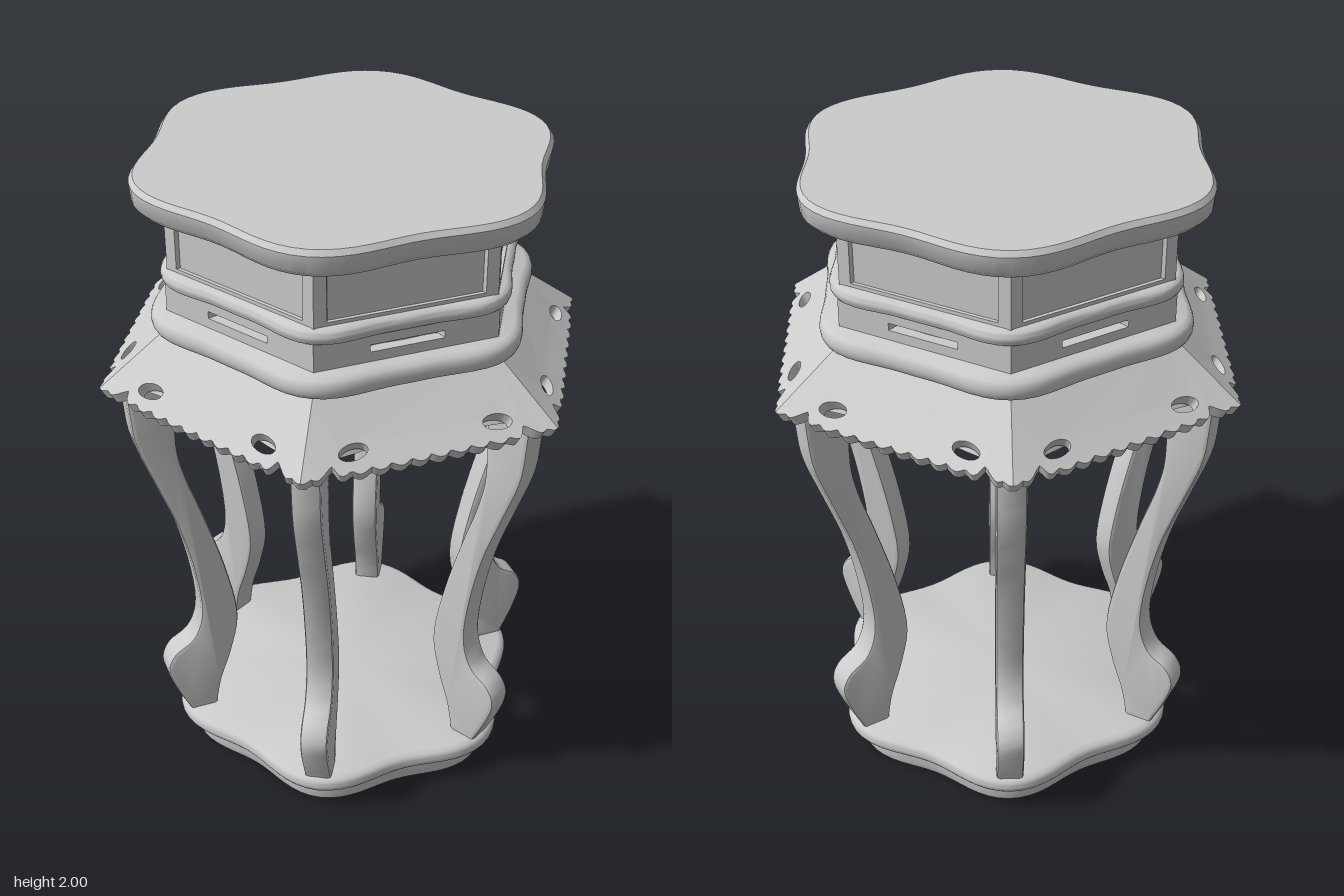
import * as THREE from 'three';
import { toCreasedNormals } from 'three/addons/utils/BufferGeometryUtils.js';

const material = new THREE.MeshStandardMaterial({ color: 0xcccccc });
const SIXTH = Math.PI / 3;
const TAN30 = Math.tan(Math.PI / 6);

function addMesh(parent, name, geometry) {
  const mesh = new THREE.Mesh(geometry, material);
  mesh.name = name;
  parent.add(mesh);
  return mesh;
}

// Stack of six-lobed rings [y, corner radius, mid-side radius], capped at both ends.
// power 1 gives wavy sides, power 2 gives nearly straight hexagon sides.
function lobedSolid(levels, power) {
  const N = 96;
  const first = levels[0], last = levels[levels.length - 1];
  const rings = [[first[0], 0, 0], ...levels, [last[0], 0, 0]];
  const pos = [], index = [];
  for (const [y, corner, mid] of rings) {
    for (let i = 0; i < N; i++) {
      const a = (i / N) * Math.PI * 2;
      const r = mid + (corner - mid) * Math.pow(0.5 + 0.5 * Math.cos(6 * a), power);
      pos.push(r * Math.cos(a), y, -r * Math.sin(a));
    }
  }
  for (let j = 0; j < rings.length - 1; j++) {
    for (let i = 0; i < N; i++) {
      const a = j * N + i, b = j * N + ((i + 1) % N), c = a + N, d = b + N;
      if (j > 0) index.push(a, b, d);
      else index.push(a, d, c);
      if (j > 0 && j < rings.length - 2) index.push(a, d, c);
    }
  }
  const g = new THREE.BufferGeometry();
  g.setAttribute('position', new THREE.Float32BufferAttribute(pos, 3));
  g.setIndex(index);
  return toCreasedNormals(g, 0.7);
}

// Rounded moulding: half-round edge between y0 and y1
function moulding(y0, y1, corner, mid, power, round = 0.025) {
  const levels = [];
  for (let i = 0; i <= 8; i++) {
    const t = -1 + i / 4;
    const inset = round * (1 - Math.sqrt(Math.max(0, 1 - t * t)));
    levels.push([y0 + ((y1 - y0) * (t + 1)) / 2, corner - inset, mid - inset]);
  }
  return lobedSolid(levels, power);
}

// Six mitred side panels from a shape in (u: -1..1 across, v: 0..1 up);
// rule(v, w) returns [distance from axis, y], with w = 0 inside and 1 outside.
function sidePanels(parent, name, shape, rule) {
  let g = new THREE.ExtrudeGeometry(shape, { depth: 1, bevelEnabled: false, curveSegments: 16 });
  const p = g.attributes.position;
  for (let i = 0; i < p.count; i++) {
    const [a, y] = rule(p.getY(i), p.getZ(i));
    p.setXYZ(i, p.getX(i) * a * TAN30, y, a);
  }
  g.computeVertexNormals();
  g = toCreasedNormals(g, 0.6);
  for (let k = 0; k < 6; k++) addMesh(parent, name, g).rotation.y = k * SIXTH;
}

function rectangle(Type, u, v0, v1) {
  return new Type([[-u, v0], [u, v0], [u, v1], [-u, v1]].map(([x, y]) => new THREE.Vector2(x, y)));
}

function ellipse(u, v, ru, rv, tilt) {
  const path = new THREE.Path();
  path.absellipse(u, v, ru, rv, 0, Math.PI * 2, false, tilt);
  return path;
}

// Sloping skirt with a scalloped lower edge and pierced holes
function apronShape() {
  const pts = [new THREE.Vector2(1, 1), new THREE.Vector2(-1, 1)];
  const N = 96;
  for (let i = 0; i <= N; i++) {
    const u = -1 + (2 * i) / N, d = Math.abs(u);
    const ripple = 0.06 * Math.abs(Math.sin(u * Math.PI * 6.5));
    const notch = 0.1 * Math.exp(-(((d - 0.78) / 0.07) ** 2));
    const tip = d > 0.93 ? 0.04 * ((d - 0.93) / 0.07) ** 2 : 0;
    pts.push(new THREE.Vector2(u, 0.03 - ripple + notch + tip));
  }
  const shape = new THREE.Shape(pts);
  for (const s of [-1, 1]) shape.holes.push(ellipse(s * 0.6, 0.24, 0.12, 0.1, 0));
  return shape;
}

// S-curved leg seen from the side: x is the distance from the axis
function legGeometry() {
  const outer = [[0.685, 1.3], [0.67, 1.18], [0.615, 1.02], [0.56, 0.86], [0.52, 0.68], [0.505, 0.52],
    [0.535, 0.42], [0.6, 0.37], [0.625, 0.31], [0.6, 0.22], [0.55, 0.11]];
  const inner = [[0.45, 0.22], [0.41, 0.34], [0.385, 0.48], [0.42, 0.68], [0.48, 0.89],
    [0.53, 1.05], [0.55, 1.18], [0.54, 1.42]];
  const vec = (list) => list.map(([x, y]) => new THREE.Vector2(x, y));
  const shape = new THREE.Shape();
  shape.moveTo(0.69, 1.4);
  shape.splineThru(vec(outer));
  shape.lineTo(0.47, 0.11);
  shape.splineThru(vec(inner));
  shape.closePath();
  const bevel = 0.012, width = 0.085;
  const g = new THREE.ExtrudeGeometry(shape, {
    depth: width - 2 * bevel, bevelThickness: bevel, bevelSize: bevel, bevelOffset: -bevel,
    bevelSegments: 2, curveSegments: 4,
  });
  g.translate(0, 0, bevel - width / 2);
  return toCreasedNormals(g, 0.6);
}

export function createModel() {
  const model = new THREE.Group();
  model.name = 'plantStand';

  // Foot plate
  addMesh(model, 'basePlinth', lobedSolid([[0, 0.52, 0.46], [0.03, 0.525, 0.47], [0.08, 0.525, 0.47]], 1));
  addMesh(model, 'baseMoulding', moulding(0.07, 0.13, 0.575, 0.505, 1));

  // Legs
  const leg = legGeometry();
  for (let k = 0; k < 6; k++) addMesh(model, 'leg', leg).rotation.y = k * SIXTH;

  // Apron around a solid core
  sidePanels(model, 'apron', apronShape(), (v, w) => [
    0.655 - 0.185 * v - 0.015 * (1 - w),
    1.385 + 0.14 * v + 0.02 * v * v - 0.03 * (1 - w),
  ]);
  addMesh(model, 'core', lobedSolid([[1.39, 0.655, 0.57], [1.42, 0.64, 0.555], [1.53, 0.51, 0.44],
    [1.95, 0.5, 0.435]], 2));

  // Waist with slots between two mouldings
  addMesh(model, 'lowerMoulding', moulding(1.53, 1.6, 0.585, 0.525, 1.4));
  const waist = rectangle(THREE.Shape, 1, 0, 1);
  waist.holes.push(rectangle(THREE.Path, 0.4, 0.4, 0.62));
  sidePanels(model, 'waistPanel', waist, (v, w) => [0.43 + 0.04 * w, 1.59 + 0.1 * v]);
  addMesh(model, 'upperMoulding', moulding(1.68, 1.73, 0.55, 0.487, 1.6, 0.02));

  // Neck with framed recessed panels
  const frame = rectangle(THREE.Shape, 1, 0, 1);
  frame.holes.push(rectangle(THREE.Path, 0.86, 0.1, 0.94));
  sidePanels(model, 'neckFrame', frame, (v, w) => [0.43 + 0.033 * w, 1.72 + 0.21 * v]);
  sidePanels(model, 'neckPanel', rectangle(THREE.Shape, 0.95, 0.05, 0.98),
    (v, w) => [0.43 + 0.022 * w, 1.72 + 0.21 * v]);

  // Table top
  addMesh(model, 'top', lobedSolid([[1.92, 0.6, 0.535], [1.935, 0.615, 0.55], [1.985, 0.62, 0.558],
    [2, 0.608, 0.546]], 1));
  return model;
}
